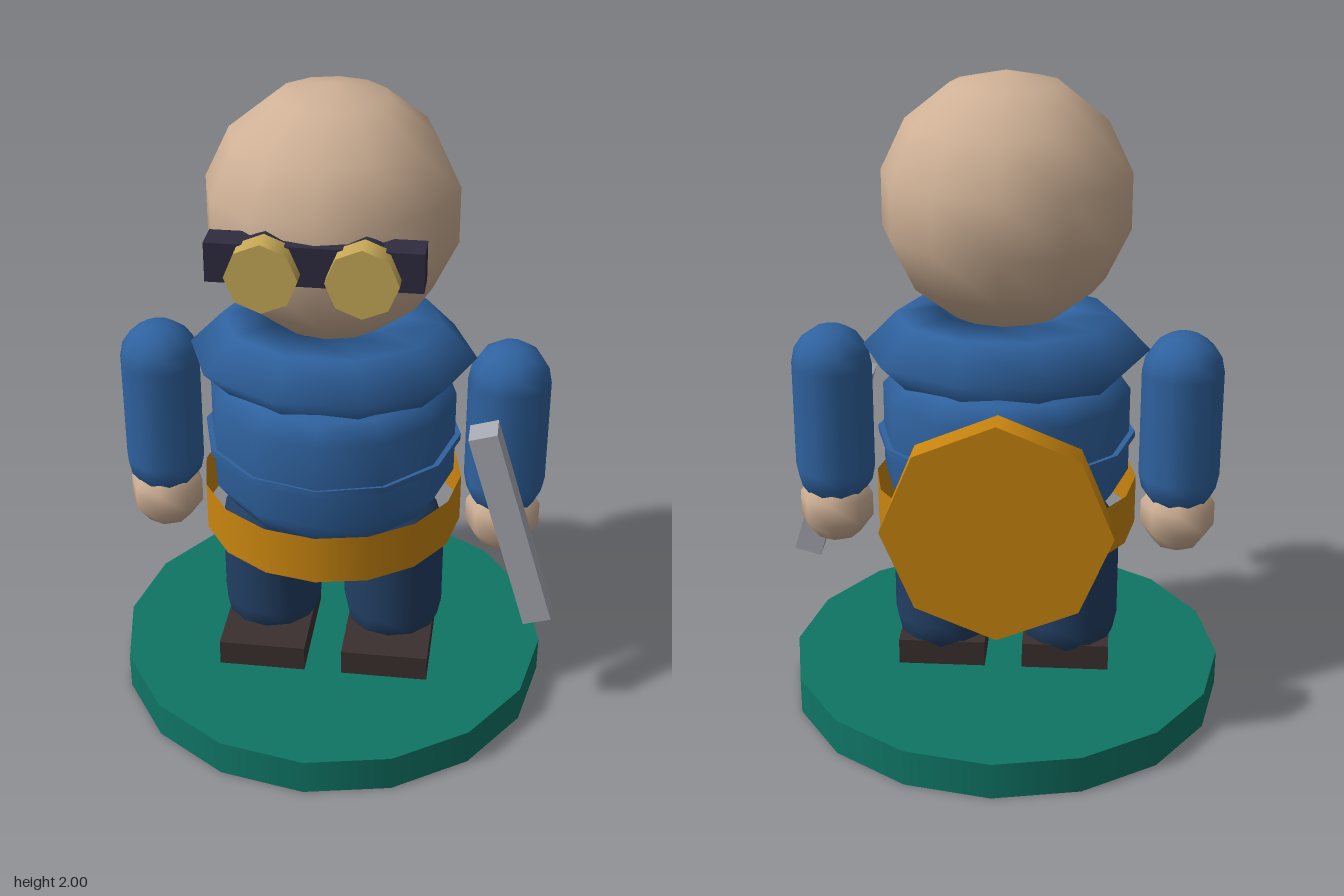
import * as THREE from 'three';

const mat = (name, color) => {
  const m = new THREE.MeshStandardMaterial({ color });
  m.name = name;
  return m;
};

export function createModel() {
  const skin = mat('skin', 0xcfb196);
  const blue = mat('blue cloth', 0x2f629f);
  const navy = mat('navy cloth', 0x223f63);
  const gold = mat('gold', 0xc9850f);
  const lensGold = mat('pale gold', 0xc9aa58);
  const teal = mat('teal', 0x0f7565);
  const brown = mat('dark brown', 0x3b2f2f);
  const steel = mat('steel', 0xa6a9b2);
  const dark = mat('dark strap', 0x2f2c3f);
  const goldBand = mat('gold belt', 0xc9850f);
  goldBand.side = THREE.DoubleSide;

  const model = new THREE.Group();
  model.name = 'figure';
  const body = new THREE.Group();
  body.name = 'body';
  body.position.x = -0.015;
  model.add(body);

  const add = (name, geometry, material, x = 0, y = 0, z = 0) => {
    const mesh = new THREE.Mesh(geometry, material);
    mesh.name = name;
    mesh.position.set(x, y, z);
    body.add(mesh);
    return mesh;
  };
  const lathe = (points, sides) =>
    new THREE.LatheGeometry(points.map(([r, y]) => new THREE.Vector2(r, y)), sides);
  const disc = (r, depth, sides) => new THREE.CylinderGeometry(r, r, depth, sides).rotateX(Math.PI / 2);

  // Round stand
  add('base', new THREE.CylinderGeometry(0.686, 0.686, 0.116, 16), teal, 0, 0.058, 0);

  // Torso, from the tapered bottom up to the shoulders
  add('torso', lathe([
    [0, 0.46], [0.1, 0.485], [0.21, 0.575], [0.32, 0.67], [0.382, 0.76],
    [0.382, 1.03], [0.33, 1.085], [0.19, 1.16], [0, 1.19],
  ], 12), blue);
  add('seam', new THREE.CylinderGeometry(0.4, 0.4, 0.02, 12), blue, 0, 0.879, 0).scale.z = 0.97;
  add('belt', new THREE.CylinderGeometry(0.407, 0.407, 0.158, 16, 1, true), goldBand, 0, 0.658, 0);

  // Thick collar, wider across the shoulders than front to back
  const collar = lathe([
    [0.18, 1.1], [0.345, 1.062], [0.44, 1.158], [0.335, 1.265], [0.2, 1.28], [0.18, 1.1],
  ], 10).rotateY(Math.PI / 2);
  add('collar', collar, blue).scale.z = 0.83;

  // Head
  add('head', new THREE.SphereGeometry(0.381, 12, 7), skin, 0, 1.619, 0);

  // Goggles
  add('goggleStrap', new THREE.BoxGeometry(0.604, 0.116, 0.092), dark, 0, 1.608, 0.343);

  // Shield on the back
  add('shield', disc(0.342, 0.09, 8), gold, 0, 0.74, -0.415);

  // Paired parts
  for (const [side, s] of [['left', 1], ['right', -1]]) {
    add(side + 'Lens', disc(0.102, 0.075, 8), lensGold, s * 0.138, 1.588, 0.4);
    add(side + 'LensRim', disc(0.098, 0.045, 8), dark, s * 0.138, 1.588, 0.35);
    add(side + 'Arm', new THREE.CapsuleGeometry(0.126, 0.34, 4, 10), blue, s * 0.541, 0.92, 0);
    add(side + 'Hand', new THREE.SphereGeometry(0.122, 8, 5), skin, s * 0.541, 0.615, 0);
    add(side + 'Leg', new THREE.CapsuleGeometry(0.16, 0.275, 4, 12), navy, s * 0.199, 0.393, 0);
    add(side + 'Shoe', new THREE.BoxGeometry(0.275, 0.085, 0.39), brown, s * 0.197, 0.157, 0.058);
  }

  // Slanted bar held at the left hand
  add('baton', new THREE.BoxGeometry(0.088, 0.68, 0.092), steel, 0.573, 0.69, 0.185).rotation.z = 0.292;

  return model;
}
